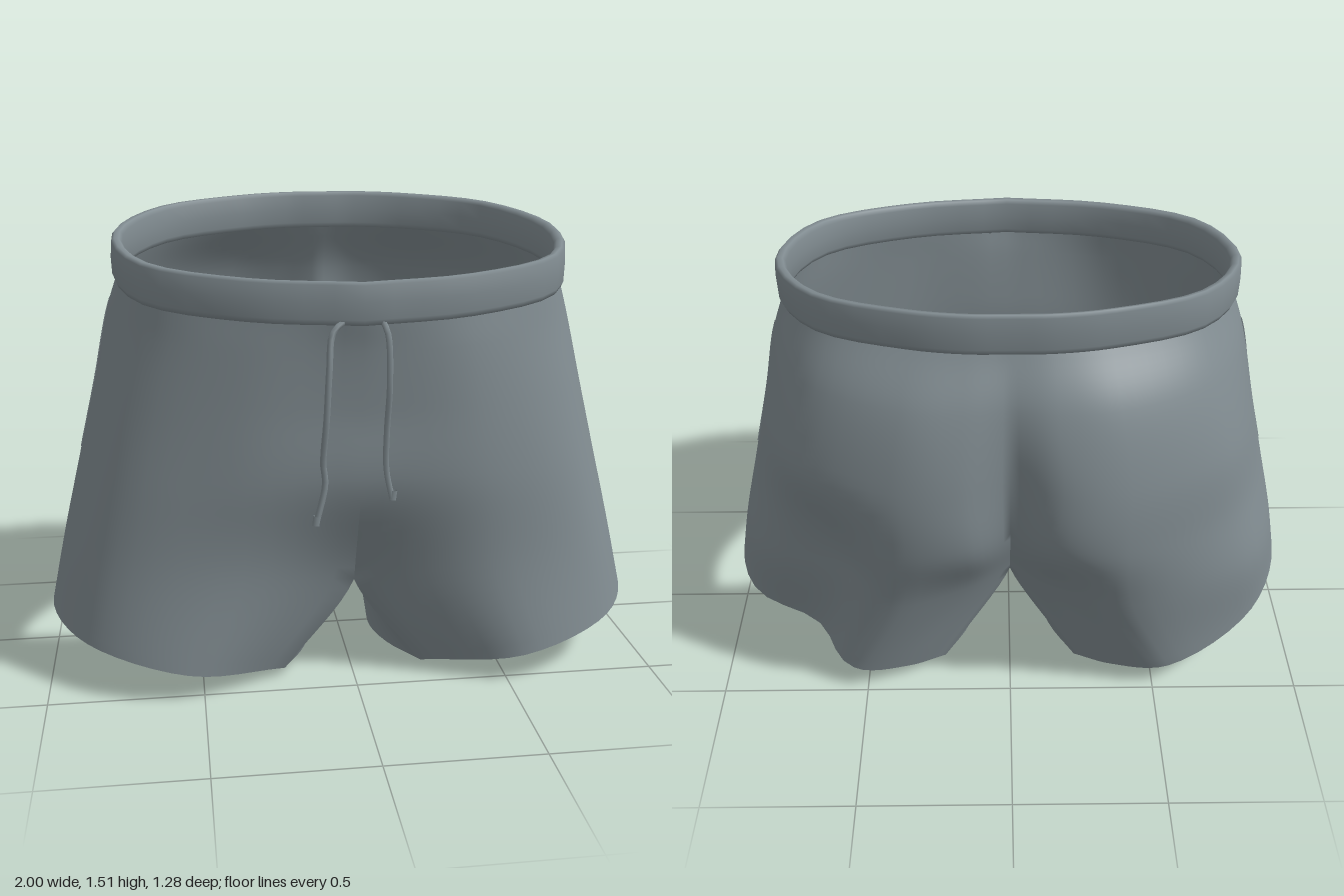
import * as THREE from 'three';
import { mergeVertices } from 'three/addons/utils/BufferGeometryUtils.js';

const material = new THREE.MeshStandardMaterial({ color: 0x818c91, side: THREE.DoubleSide });
const vec = (x, y, z) => new THREE.Vector3(x, y, z);
const curve = (pts) => new THREE.CatmullRomCurve3(pts);

// Half outlines (x, z, own height if any) from front centre round the side to back centre.
// Height of each row is y + slope * z; the hem rises with x instead.
const rows = [
  { y: 1.316, slope: -0.137, p: [[0, .608], [.34, .545], [.64, .365], [.73, 0], [.58, -.31], [.3, -.45], [.13, -.487], [0, -.49]] },
  { y: 1.18, slope: -0.06, p: [[0, .59], [.35, .55], [.66, .37], [.775, 0], [.63, -.37], [.33, -.55], [.14, -.572], [0, -.55]] },
  { y: 0.95, slope: 0, p: [[0, .57], [.38, .55], [.71, .38], [.825, .02], [.7, -.4], [.37, -.605], [.16, -.625], [0, -.55]] },
  { y: 0.7, slope: 0, p: [[0, .56], [.42, .545], [.76, .4], [.885, .04], [.75, -.38], [.37, -.61], [.14, -.605], [0, -.49]] },
  { y: 0.43, slope: -0.03, p: [[0, .42, .345], [.44, .53], [.82, .41], [.95, .07], [.82, -.36], [.4, -.56], [.15, -.47], [0, -.36]] },
  { y: 0, slope: 0, hem: true, p: [[.23, .4], [.55, .55], [.87, .42], [1, .1], [.87, -.28], [.55, -.49], [.36, -.44], [.23, -.36]] },
];
const hemY = (x) => Math.max(0, 0.215 * (x - 0.1));
const rowCurves = rows.map((r) => curve(r.p.map(([x, z, y = r.y + r.slope * z]) => vec(x, r.hem ? hemY(x) : y, z))));

// Point on the outer cloth, u front to back, v waist to hem
function cloth(u, v, side) {
  const q = curve(rowCurves.map((c) => c.getPoint(u))).getPoint(v);
  if (side > 0) { // fold at the back of one leg
    const w = Math.exp(-(((u * 7 - 4.3) / 0.42) ** 2)) * (1 - THREE.MathUtils.smoothstep(q.y, 0.5, 0.95));
    q.x -= 0.1 * w;
    q.z += 0.06 * w;
  }
  return q;
}

// Inner leg, from the crotch seam down to the inside of the hem
const seam = curve([vec(0, .345, .42), vec(0, .315, .26), vec(0, .31, .02), vec(0, .34, -.19), vec(0, .4408, -.36)]);
const innerHem = curve([vec(.23, hemY(.23), .4), vec(.145, hemY(.145), .21), vec(.11, 0, .02), vec(.145, hemY(.145), -.18), vec(.23, hemY(.23), -.36)]);
function innerLeg(s, w, side) {
  const blend = (t) => {
    const a = seam.getPoint(t), b = innerHem.getPoint(t);
    const q = a.clone().lerp(b, w);
    q.x = THREE.MathUtils.lerp(a.x, b.x, w ** (0.35 + 0.65 * (2 * t - 1) ** 2)); // round arch in the middle
    return q;
  };
  const v = 0.8 + 0.2 * w;
  const front = cloth(0, v, side).sub(blend(0)), back = cloth(1, v, side).sub(blend(1));
  return blend(s).addScaledVector(front, (1 - s) ** 4).addScaledVector(back, s ** 4);
}

// Adds an nu x nv grid of points to the lists
function addGrid(pos, idx, nu, nv, point, flip) {
  const base = pos.length / 3, at = (i, j) => base + i * (nu + 1) + j;
  for (let i = 0; i <= nv; i++) for (let j = 0; j <= nu; j++) pos.push(...point(j / nu, i / nv).toArray());
  for (let i = 0; i < nv; i++) for (let j = 0; j < nu; j++) {
    const a = at(i, j), b = at(i, j + 1), c = at(i + 1, j), d = at(i + 1, j + 1);
    idx.push(...(flip ? [a, b, c, b, d, c] : [a, c, b, b, c, d]));
  }
}

function toMesh(name, pos, idx) {
  let g = new THREE.BufferGeometry();
  g.setAttribute('position', new THREE.Float32BufferAttribute(pos, 3));
  g.setIndex(idx);
  g = mergeVertices(g, 1e-4);
  g.computeVertexNormals();
  const mesh = new THREE.Mesh(g, material);
  mesh.name = name;
  return mesh;
}

function tube(name, pts, radius) {
  const mesh = new THREE.Mesh(new THREE.TubeGeometry(curve(pts), 28, radius, 6), material);
  mesh.name = name;
  return mesh;
}

export function createModel() {
  const group = new THREE.Group();
  group.name = 'shorts';

  // Body and legs, both halves welded along the centre seam
  const pos = [], idx = [];
  for (const side of [1, -1]) {
    const mirrored = (f) => (a, b) => f(a, b, side).multiply(vec(side, 1, 1));
    addGrid(pos, idx, 42, 40, mirrored(cloth), side < 0);
    addGrid(pos, idx, 16, 8, mirrored(innerLeg), side > 0);
  }
  group.add(toMesh('body', pos, idx));

  // Waistband: a rounded strip swept round the waist, as [scale, height]
  const section = [[.985, -.005], [1.012, -.005], [1.022, .012], [1.025, .065], [1.02, .115], [1.008, .125], [.985, .123], [.972, .11], [.968, .06], [.972, .012], [.985, -.005]];
  const bandPos = [], bandIdx = [];
  addGrid(bandPos, bandIdx, 56, section.length - 1, (u, v) => {
    const side = u <= 0.5 ? 1 : -1;
    const p = rowCurves[0].getPoint(u <= 0.5 ? u * 2 : 2 - u * 2);
    const [scale, h] = section[Math.round(v * (section.length - 1))];
    return vec(p.x * scale * side, p.y + h, p.z * scale);
  }, true);
  group.add(toMesh('waistband', bandPos, bandIdx));

  // Drawstrings with thicker ends
  const strings = [
    [vec(-.06, 1.24, .6), vec(-.095, 1.21, .615), vec(-.108, 1.1, .632), vec(-.115, .95, .622), vec(-.122, .8, .59), vec(-.115, .73, .58), vec(-.145, .6, .585)],
    [vec(.055, 1.24, .6), vec(.07, 1.2, .612), vec(.076, 1.05, .617), vec(.073, .9, .592), vec(.075, .77, .578), vec(.095, .67, .575)],
  ];
  for (const pts of strings) {
    group.add(tube('drawstring', pts, 0.01));
    const end = pts[pts.length - 1];
    group.add(tube('drawstringEnd', [end.clone().add(vec(.004, .03, 0)), end], 0.012));
  }

  // Pocket seams down each side
  for (const side of [1, -1]) {
    const pts = [];
    for (let i = 0; i <= 8; i++) {
      const q = cloth((3.05 - 0.06 * Math.sin(Math.PI * i / 8)) / 7, 0.15 + 0.44 * i / 8, side);
      pts.push(vec(q.x * side, q.y, q.z));
    }
    group.add(tube('pocketSeam', pts, 0.003));
  }
  return group;
}
